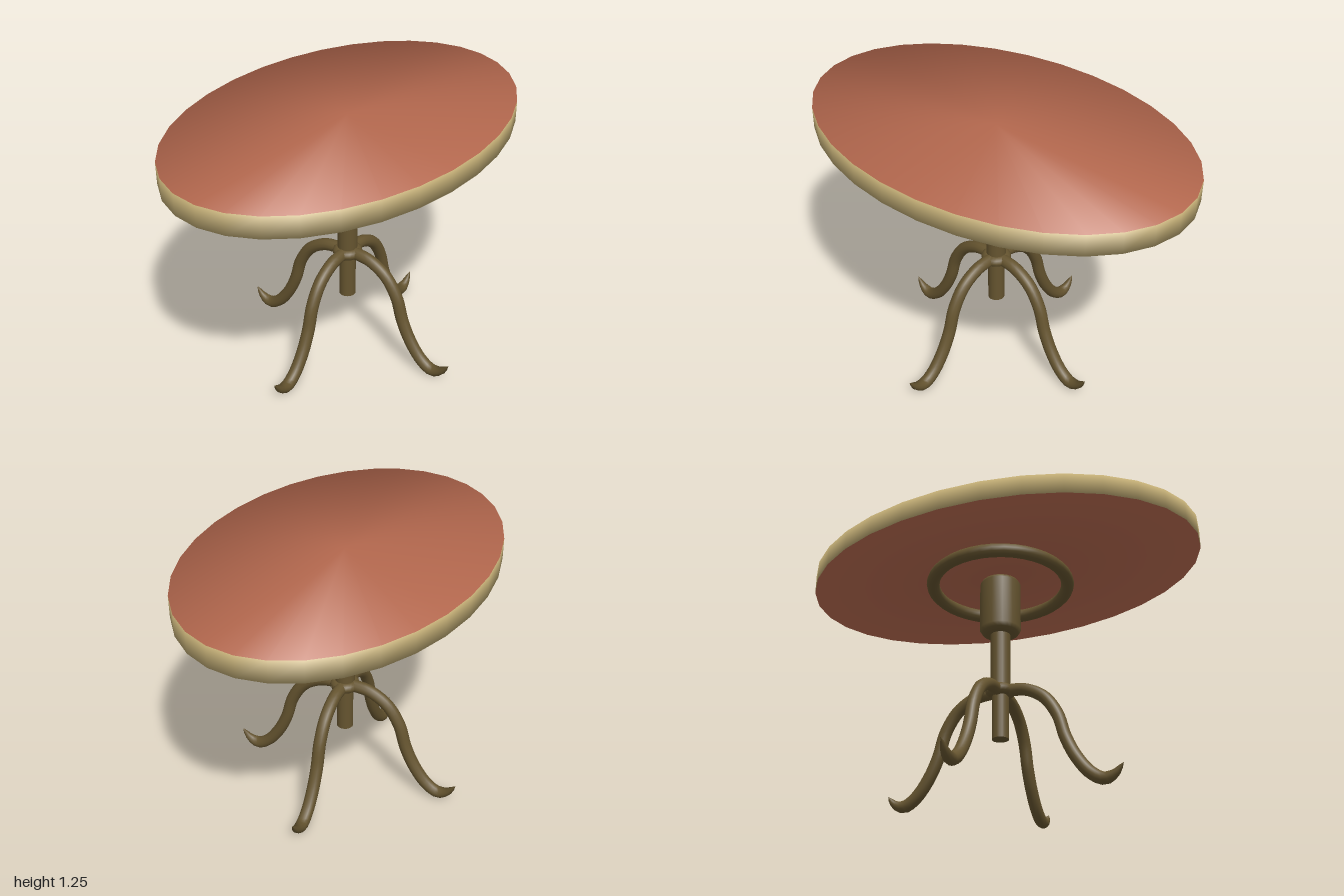
import * as THREE from 'three';

const bronze = new THREE.MeshStandardMaterial({ color: 0x65542f });
bronze.name = 'darkBronze';
const edge = new THREE.MeshStandardMaterial({ color: 0xc2ad75 });
edge.name = 'paleEdge';
const wood = new THREE.MeshStandardMaterial({ color: 0xb4684e });
wood.name = 'redWood';

function add(parent, name, geometry, material) {
  const mesh = new THREE.Mesh(geometry, material);
  mesh.name = name;
  parent.add(mesh);
  return mesh;
}

// Oval slab whose normals roll softly over the rim
function tabletopGeometry(a, b, thickness) {
  const g = new THREE.CylinderGeometry(1, 1, thickness, 32);
  g.scale(a, 1, b);
  const p = g.attributes.position;
  const n = new THREE.Vector3();
  for (let i = 0; i < p.count; i++) {
    n.set(p.getX(i) / (a * a), 0, p.getZ(i) / (b * b));
    if (n.length() > 0.1) n.normalize();
    n.y = Math.sign(p.getY(i));
    n.normalize();
    g.attributes.normal.setXYZ(i, n.x, n.y, n.z);
  }
  return g;
}

// S-curved round leg along +x, narrowing to an upturned point
function legGeometry() {
  const path = new THREE.CatmullRomCurve3([
    [0, 0.53], [0.06, 0.53], [0.13, 0.52], [0.22, 0.467], [0.285, 0.37],
    [0.322, 0.25], [0.37, 0.15], [0.435, 0.066], [0.495, 0.031],
    [0.545, 0.046], [0.587, 0.092],
  ].map(([x, y]) => new THREE.Vector3(x, y, 0)), false, 'centripetal');
  const rings = 36, sides = 12;
  const g = new THREE.TubeGeometry(path, rings, 0.03, sides);
  const p = g.attributes.position;
  const v = new THREE.Vector3();
  for (let i = 0; i <= rings; i++) {
    const t = i / rings;
    const c = path.getPointAt(t);
    const k = t < 0.88 ? 1 : Math.pow((1 - t) / 0.12, 0.7);
    for (let j = 0; j <= sides; j++) {
      const id = i * (sides + 1) + j;
      v.fromBufferAttribute(p, id).sub(c).multiplyScalar(k).add(c);
      p.setXYZ(id, v.x, v.y, v.z);
    }
  }
  return g;
}

function turned(points, sides = 24) {
  return new THREE.LatheGeometry(points.map(([r, y]) => new THREE.Vector2(r, y)), sides);
}

export function createModel() {
  const model = new THREE.Group();
  model.name = 'ovalPedestalTable';

  // Top: pale rim, red faces
  add(model, 'tabletop', tabletopGeometry(1, 0.667, 0.1), [edge, wood, wood]).position.y = 1.2;

  // Ring under the top
  const ring = add(model, 'supportRing', new THREE.TorusGeometry(0.333, 0.032, 12, 40), bronze);
  ring.rotation.x = Math.PI / 2;
  ring.position.y = 1.107;

  // Pedestal
  add(model, 'upperSleeve', turned([
    [0, 0.83], [0.065, 0.83], [0.088, 0.841], [0.1, 0.86],
    [0.1, 1.105], [0.09, 1.122], [0.07, 1.13], [0, 1.13],
  ]), bronze);
  add(model, 'shaft', new THREE.CylinderGeometry(0.048, 0.048, 0.32, 20), bronze).position.y = 0.69;
  add(model, 'lowerShaft', new THREE.CylinderGeometry(0.04, 0.04, 0.25, 20), bronze).position.y = 0.415;

  // Collar where the legs meet
  const collar = add(model, 'legCollar', new THREE.TorusGeometry(0.045, 0.027, 10, 24), bronze);
  collar.rotation.x = Math.PI / 2;
  collar.position.y = 0.532;

  // Four legs
  const leg = legGeometry();
  ['leftLeg', 'backLeg', 'rightLeg', 'frontLeg'].forEach((name, i) => {
    add(model, name, leg, bronze).rotation.y = i * Math.PI / 2;
  });

  return model;
}
